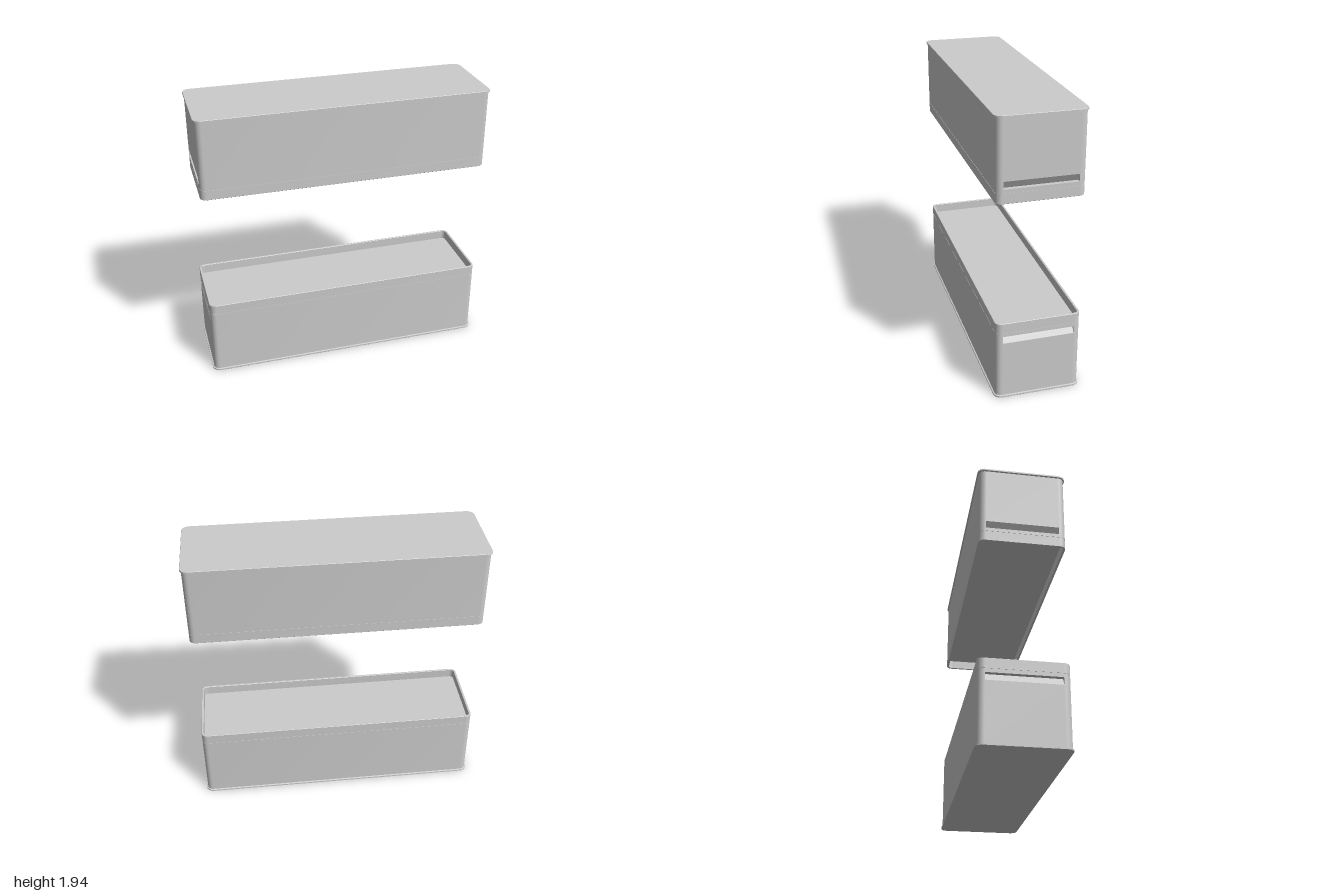
import * as THREE from 'three';
import { toCreasedNormals } from 'three/addons/utils/BufferGeometryUtils.js';

const HALF_X = 1, HALF_Z = 0.295, RADIUS = 0.05; // footprint of the flange
const HANDLE_Z = 0.24, HANDLE_DEPTH = 0.03;
const TOTAL_HEIGHT = 1.94;

// Rounded-rectangle ring, inset all round; "push" sinks the handle strip of both ends.
function ring([inset, y, push = 0]) {
  if (inset === 'centre') return Array.from({ length: 40 }, () => new THREE.Vector3(0, y, 0));
  const pts = [], steps = 8, r = RADIUS - inset;
  const end = (sx, sz) => {
    for (const [z, d] of [[sz, 0], [sz, push], [-sz, push], [-sz, 0]])
      pts.push(new THREE.Vector3(sx * (HALF_X - inset - d), y, z * HANDLE_Z));
  };
  [[1, 1], [-1, 1], [-1, -1], [1, -1]].forEach(([sx, sz], q) => {
    for (let i = 0; i < steps; i++) {
      const a = (q + i / (steps - 1)) * Math.PI / 2;
      pts.push(new THREE.Vector3(
        sx * (HALF_X - RADIUS) + r * Math.cos(a), y,
        sz * (HALF_Z - RADIUS) + r * Math.sin(a)));
    }
    if (q === 1) end(-1, 1);
    if (q === 3) end(1, -1);
  });
  return pts;
}

// Skin between successive rings, skipping empty triangles.
function loft(levels) {
  const rings = levels.map(ring), pos = [], tri = new THREE.Triangle();
  const add = (a, b, c) => {
    if (tri.set(a, b, c).getArea() > 1e-9) for (const p of [a, b, c]) pos.push(p.x, p.y, p.z);
  };
  for (let k = 0; k + 1 < rings.length; k++) {
    const lo = rings[k], hi = rings[k + 1];
    lo.forEach((p, i) => {
      const j = (i + 1) % lo.length;
      add(p, hi[i], lo[j]);
      add(hi[i], hi[j], lo[j]);
    });
  }
  const geo = new THREE.BufferGeometry();
  geo.setAttribute('position', new THREE.Float32BufferAttribute(pos, 3));
  return toCreasedNormals(geo, 0.5);
}

function createBox(name, material) {
  const box = new THREE.Group();
  box.name = name;
  const add = (part, levels) => {
    const mesh = new THREE.Mesh(loft(levels), material);
    mesh.name = part;
    box.add(mesh);
  };
  // flat base with a thin projecting flange
  add('baseFlange', [['centre', 0], [0.002, 0], [0, 0.002], [0, 0.012], [0.009, 0.015]]);
  // walls with wedge-shaped finger recesses, a fine seam and an open rim
  add('walls', [
    [0.009, 0.015], [0.009, 0.41], [0.009, 0.46, HANDLE_DEPTH], [0.009, 0.46],
    [0.009, 0.484], [0.011, 0.484], [0.011, 0.487], [0.009, 0.487],
    [0.009, 0.553], [0.011, 0.555], [0.022, 0.555], [0.024, 0.553], [0.024, 0.49],
  ]);
  // panel sunk below the rim
  add('recessedPanel', [[0.024, 0.49], ['centre', 0.49]]);
  return box;
}

export function createModel() {
  const model = new THREE.Group();
  model.name = 'boxPair';
  const material = new THREE.MeshStandardMaterial({ color: 0xcccccc });
  const lower = createBox('lowerBox', material);
  // the upper box is the same piece turned upside down
  const upper = createBox('upperBox', material);
  upper.rotation.x = Math.PI;
  upper.position.y = TOTAL_HEIGHT;
  model.add(lower, upper);
  return model;
}
